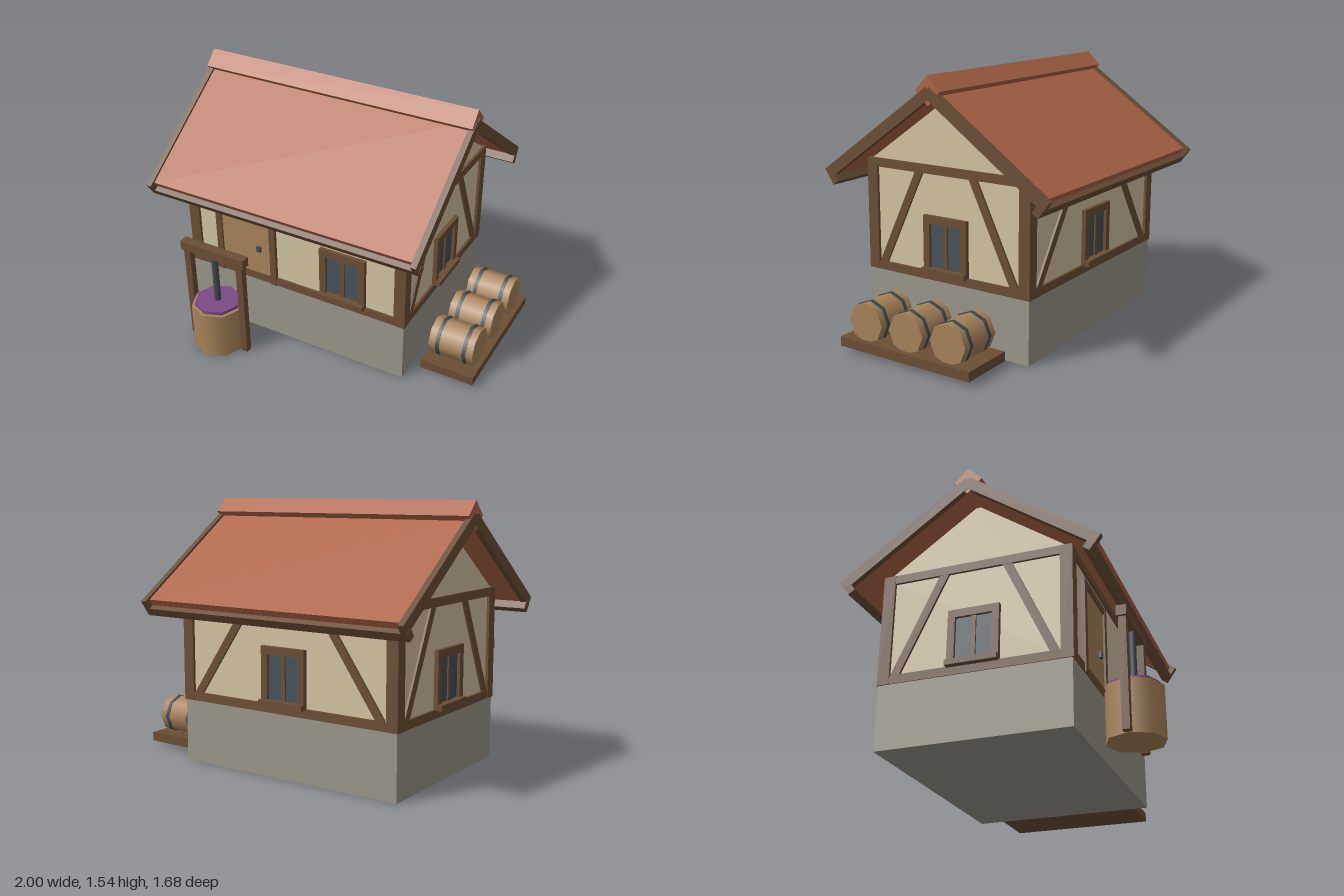
import * as THREE from 'three';

const mat = (name, color) => new THREE.MeshStandardMaterial({ name, color });

export function createModel() {
  const timber = mat('dark timber', 0x6b4e35);
  const plaster = mat('plaster', 0xd2c3a2);
  const stone = mat('stone', 0x9a968a);
  const tiles = mat('roof tiles', 0xae6548);
  const oak = mat('light oak', 0xa8835a);
  const metal = mat('iron', 0x424b50);
  const glass = mat('window glass', 0x46525a);
  const juice = mat('grape mash', 0x7e4a86);

  const add = (parent, name, geo, material, x = 0, y = 0, z = 0) => {
    const mesh = new THREE.Mesh(geo, material);
    mesh.name = name;
    mesh.position.set(x, y, z);
    parent.add(mesh);
    return mesh;
  };
  // Box given by its minimum and maximum along each axis
  const box = (parent, name, material, [x0, x1], [y0, y1], [z0, z1]) =>
    add(parent, name, new THREE.BoxGeometry(x1 - x0, y1 - y0, z1 - z0), material,
      (x0 + x1) / 2, (y0 + y1) / 2, (z0 + z1) / 2);
  const group = (parent, name) => {
    const g = new THREE.Group();
    g.name = name;
    parent.add(g);
    return g;
  };

  const model = new THREE.Group();
  model.name = 'timberFramedWinery';

  // House, centred on its own footprint
  const house = group(model, 'house');
  house.position.set(-0.125, 0, -0.09);
  const HX = 0.725, HZ = 0.545;
  box(house, 'stoneBase', stone, [-HX, HX], [0, 0.37], [-HZ, HZ]);

  // Plaster walls and gables as one extruded pentagon
  const w = HZ - 0.01;
  const section = new THREE.Shape([
    new THREE.Vector2(-w, 0.36), new THREE.Vector2(w, 0.36), new THREE.Vector2(w, 1.02),
    new THREE.Vector2(0, 1.395), new THREE.Vector2(-w, 1.02)]);
  const wallGeo = new THREE.ExtrudeGeometry(section, { depth: 2 * HX - 0.02, bevelEnabled: false });
  wallGeo.translate(0, 0, -HX + 0.01).rotateY(Math.PI / 2);
  add(house, 'plasterWalls', wallGeo, plaster);

  // Corner posts
  for (const sx of [-1, 1]) for (const sz of [-1, 1])
    add(house, 'cornerPost', new THREE.BoxGeometry(0.07, 0.66, 0.07), timber,
      sx * (HX - 0.028), 0.70, sz * (HZ - 0.028));

  const addWindow = (wall, x, d) => {
    const g = group(wall, 'window');
    g.position.set(x, 0, d);
    for (const s of [-1, 1])
      add(g, 'frameSide', new THREE.BoxGeometry(0.042, 0.325, 0.035), timber, s * 0.126, 0.582, -0.002);
    add(g, 'frameTop', new THREE.BoxGeometry(0.294, 0.046, 0.035), timber, 0, 0.722, -0.002);
    add(g, 'frameBottom', new THREE.BoxGeometry(0.294, 0.03, 0.035), timber, 0, 0.43, -0.002);
    add(g, 'sill', new THREE.BoxGeometry(0.294, 0.032, 0.05), timber, 0, 0.43, 0.017);
    add(g, 'glass', new THREE.BoxGeometry(0.215, 0.26, 0.009), glass, 0, 0.572, -0.007);
    add(g, 'mullion', new THREE.BoxGeometry(0.025, 0.26, 0.016), timber, 0, 0.572, -0.001);
  };

  // Sloping braces mirrored about the middle of a wall
  const addBraces = (wall, low, high, d) => {
    const dy = 0.58, dx = low - high;
    for (const s of [-1, 1]) {
      const b = add(wall, 'brace', new THREE.BoxGeometry(0.048, Math.hypot(dx, dy), 0.02), timber,
        s * (low + high) / 2, 0.70, d - 0.007);
      b.rotation.z = s * Math.atan2(dx, dy);
    }
  };

  // Four framed walls: x runs along the wall, z points outward
  const walls = [
    { name: 'frontWall', turn: 0, half: HX, d: HZ, win: 0.33 },
    { name: 'backWall', turn: Math.PI, half: HX, d: HZ, win: 0, brace: [0.63, 0.23] },
    { name: 'leftWall', turn: Math.PI / 2, half: HZ, d: HX, win: 0, brace: [0.455, 0.18] },
    { name: 'rightWall', turn: -Math.PI / 2, half: HZ, d: HX, win: 0, brace: [0.455, 0.18] },
  ];
  for (const { name, turn, half, d, win, brace } of walls) {
    const wall = group(house, name);
    wall.rotation.y = turn;
    for (const y of [0.37, 0.98])
      box(wall, 'rail', timber, [-half + 0.03, half - 0.03], [y, y + 0.05], [d - 0.03, d + 0.005]);
    if (brace) addBraces(wall, ...brace, d);
    addWindow(wall, win, d);
    if (name !== 'frontWall') continue;
    // Door with posts, lintel and handle
    box(wall, 'door', oak, [-0.50, -0.155], [0.37, 0.90], [d - 0.03, d]);
    for (const x of [-0.515, -0.14])
      box(wall, 'doorPost', timber, [x - 0.02, x + 0.02], [0.37, 0.93], [d - 0.03, d + 0.012]);
    box(wall, 'doorLintel', timber, [-0.535, -0.12], [0.89, 0.93], [d - 0.03, d + 0.011]);
    box(wall, 'doorHandle', metal, [-0.25, -0.222], [0.58, 0.615], [d, d + 0.015]);
  }

  // Roof: two mirrored slopes, z runs down the slope from the ridge
  for (const turn of [0, Math.PI]) {
    const side = group(house, 'roofSide');
    side.rotation.y = turn;
    const slope = group(side, 'roofSlope');
    slope.position.y = 1.49;
    slope.rotation.x = 0.615;
    box(slope, 'tilePanel', tiles, [-0.845, 0.845], [-0.06, -0.013], [0.02, 0.885]);
    for (const s of [-1, 1])
      add(slope, 'bargeBoard', new THREE.BoxGeometry(0.034, 0.064, 0.905), timber, s * 0.858, -0.032, 0.4655);
    box(slope, 'eaveBeam', timber, [-0.877, 0.877], [-0.107, -0.055], [0.872, 0.917]);
  }
  const cap = add(house, 'ridgeCap', new THREE.BoxGeometry(1.744, 0.116, 0.116), tiles, 0, 1.462, 0);
  cap.rotation.x = Math.PI / 4;

  // Barrels lying on a plank
  const rack = group(model, 'barrelRack');
  box(rack, 'plank', timber, [0.668, 1], [0.03, 0.085], [-0.527, 0.35]);
  for (const z of [0.19, -0.089, -0.368]) {
    const barrel = group(rack, 'barrel');
    barrel.position.set(0.83, 0.187, z);
    barrel.rotation.z = Math.PI / 2;
    add(barrel, 'barrelBody', new THREE.CylinderGeometry(0.115, 0.115, 0.275, 8), oak);
    for (const y of [-0.083, 0.083])
      add(barrel, 'barrelHoop', new THREE.CylinderGeometry(0.12, 0.12, 0.022, 8), metal, 0, y, 0);
  }

  // Grape press
  const press = group(model, 'grapePress');
  press.position.set(-0.526, 0, 0.682);
  add(press, 'tub', new THREE.CylinderGeometry(0.16, 0.16, 0.295, 8), oak, 0, 0.1475, 0);
  add(press, 'mash', new THREE.CylinderGeometry(0.14, 0.14, 0.03, 8), juice, 0, 0.3, 0);
  add(press, 'screw', new THREE.CylinderGeometry(0.02, 0.02, 0.32, 8), metal, 0, 0.47, 0);
  for (const s of [-1, 1])
    box(press, 'pressPost', timber, [s * 0.183 - 0.021, s * 0.183 + 0.021], [0, 0.63], [-0.021, 0.021]);
  box(press, 'crossBeam', timber, [-0.22, 0.22], [0.62, 0.677], [-0.028, 0.028]);

  return model;
}
